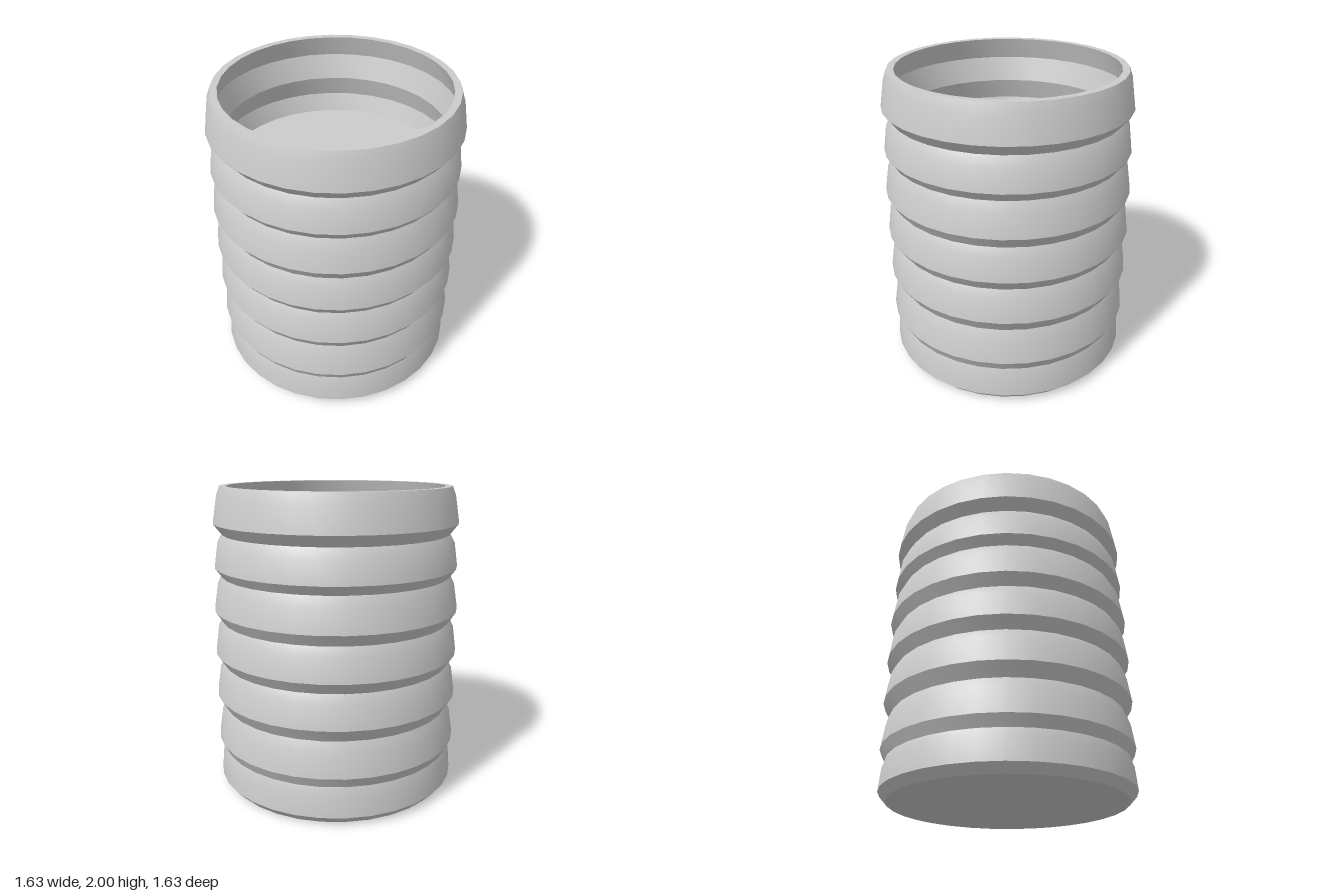
import * as THREE from 'three';
import { toCreasedNormals } from 'three/addons/utils/BufferGeometryUtils.js';

const SIDES = 32;

export function createModel() {
  const group = new THREE.Group();
  group.name = 'ribbedCup';

  // each rib: [ridge y, ridge radius, shoulder y, shoulder radius, neck y, neck radius]
  const ribs = [
    [0.055, 0.81, 0.20, 0.797, 0.25, 0.78],
    [0.32, 0.817, 0.48, 0.793, 0.545, 0.765],
    [0.63, 0.817, 0.79, 0.793, 0.845, 0.765],
    [0.92, 0.815, 1.08, 0.793, 1.135, 0.765],
    [1.21, 0.812, 1.37, 0.786, 1.43, 0.757],
    [1.49, 0.80, 1.64, 0.778, 1.70, 0.745],
    [1.77, 0.80, 1.94, 0.772, 2.0, 0.75],
  ];

  // outside, from the base centre up to the rim
  const profile = [[0, 0], [0.76, 0]];
  for (const [y1, r1, y2, r2, y3, r3] of ribs) profile.push([r1, y1], [r2, y2], [r3, y3]);

  // rim, ribbed inner wall and floor of the recess
  profile.push([0.705, 2.0], [0.75, 1.86], [0.705, 1.70], [0.75, 1.56], [0.715, 1.44], [0, 1.44]);

  const lathe = new THREE.LatheGeometry(profile.map(([r, y]) => new THREE.Vector2(r, y)), SIDES);
  const body = new THREE.Mesh(
    toCreasedNormals(lathe, 0.5),
    new THREE.MeshStandardMaterial({ color: 0xcccccc })
  );
  body.name = 'ribbedBody';
  group.add(body);
  return group;
}
